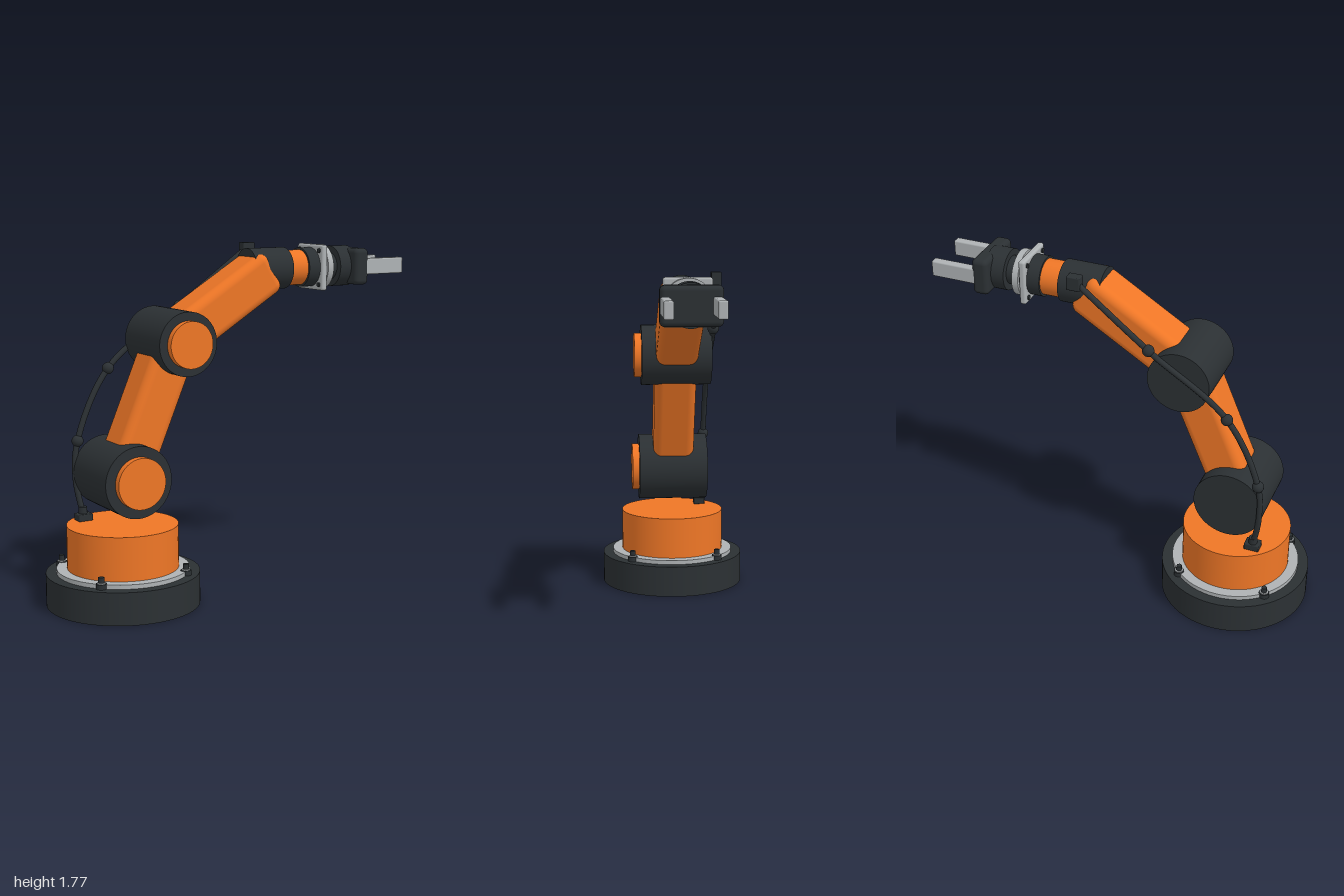
import * as THREE from 'three';
import { RoundedBoxGeometry } from 'three/addons/geometries/RoundedBoxGeometry.js';

const orange = new THREE.MeshStandardMaterial({ color: 0xee7626 });
const dark = new THREE.MeshStandardMaterial({ color: 0x2b3033 });
const metal = new THREE.MeshStandardMaterial({ color: 0xaeb2b4 });

export function createModel() {
  const model = new THREE.Group();
  model.name = 'robotArm';

  const add = (name, geometry, material, x = 0, y = 0, z = 0) => {
    const mesh = new THREE.Mesh(geometry, material);
    mesh.name = name;
    mesh.position.set(x, y, z);
    model.add(mesh);
    return mesh;
  };
  // Cylinders given by their start and end along one axis
  const cylY = (name, mat, r, y0, y1, x, z, seg = 64) =>
    add(name, new THREE.CylinderGeometry(r, r, y1 - y0, seg), mat, x, (y0 + y1) / 2, z);
  const cylZ = (name, mat, r, z0, z1, p) =>
    add(name, new THREE.CylinderGeometry(r, r, z1 - z0, 64).rotateX(Math.PI / 2), mat, p.x, p.y, (z0 + z1) / 2);
  const cylX = (name, mat, r, x0, x1, y, z = 0, seg = 48) =>
    add(name, new THREE.CylinderGeometry(r, r, x1 - x0, seg).rotateZ(Math.PI / 2), mat, (x0 + x1) / 2, y, z);
  const box = (name, mat, w, h, d, r, x, y, z) =>
    add(name, new RoundedBoxGeometry(w, h, d, 4, r), mat, x, y, z);

  const shoulder = new THREE.Vector2(-0.613, 0.65);
  const elbow = new THREE.Vector2(-0.333, 1.308);
  const wrist = new THREE.Vector2(0.22, 1.647);

  // Base, mounting ring and turntable
  const bx = shoulder.x;
  cylY('base', dark, 0.387, 0, 0.165, bx, 0);
  cylY('mountingRing', metal, 0.333, 0.165, 0.187, bx, 0);
  cylY('turntable', orange, 0.28, 0.187, 0.407, bx, 0);
  for (const sx of [-1, 1]) {
    for (const sz of [-1, 1]) {
      const x = bx + sx * 0.232, z = sz * 0.232;
      cylY('boltSeat', dark, 0.027, 0.16, 0.19, x, z, 24);
      cylY('boltWasher', metal, 0.021, 0.19, 0.194, x, z, 24);
      cylY('baseBolt', dark, 0.015, 0.194, 0.222, x, z, 6);
    }
  }

  // Joint drums with a cap on the front
  cylZ('shoulderDrum', dark, 0.18, -0.187, 0.187, shoulder);
  cylZ('shoulderCap', orange, 0.128, 0.187, 0.224, shoulder);
  cylZ('elbowDrum', dark, 0.16, -0.185, 0.185, elbow);
  cylZ('elbowCap', orange, 0.117, 0.185, 0.222, elbow);

  // Arm links, each running from one joint towards the next
  const link = (name, from, to, extra) => {
    const dir = to.clone().sub(from);
    const length = dir.length() + extra;
    const mid = dir.clone().normalize().multiplyScalar(length / 2).add(from);
    box(name, orange, length, 0.226, 0.222, 0.045, mid.x, mid.y, 0).rotation.z = dir.angle();
  };
  link('lowerArm', shoulder, elbow, 0);
  link('upperArm', elbow, wrist, 0.0);

  // Wrist stack along x
  const wy = wrist.y;
  cylX('wristHousing', dark, 0.107, 0.11, 0.33, wy);
  cylX('wristRoll', orange, 0.091, 0.33, 0.43, wy);
  cylX('wristCollar', dark, 0.102, 0.43, 0.497, wy);
  box('toolPlate', metal, 0.034, 0.236, 0.236, 0.012, 0.514, wy, 0);
  cylX('plateSpacer', dark, 0.1, 0.53, 0.538, wy);
  cylX('toolFlange', metal, 0.117, 0.537, 0.571, wy);
  for (const sy of [-1, 1]) {
    for (const sz of [-1, 1]) {
      cylX('plateBolt', dark, 0.012, 0.49, 0.5, wy + sy * 0.088, sz * 0.088, 16);
    }
  }

  // Gripper
  cylX('gripperFlange', dark, 0.085, 0.571, 0.583, wy);
  cylX('gripperNeck', dark, 0.072, 0.583, 0.622, wy);
  cylX('gripperMotor', dark, 0.106, 0.622, 0.725, wy);
  box('gripperBody', dark, 0.086, 0.19, 0.294, 0.025, 0.733, wy, 0);
  for (const side of [-1, 1]) {
    box('finger', metal, 0.25, 0.084, 0.045, 0.008, 0.875, wy, side * 0.12);
  }

  // Cable with clips and end connectors
  const path = [
    [-0.75, 0.42, -0.165], [-0.78, 0.62, -0.188], [-0.765, 0.81, -0.188],
    [-0.59, 1.165, -0.19], [-0.18, 1.46, -0.188], [0.2, 1.738, -0.165],
  ].map((p) => new THREE.Vector3(...p));
  add('cable', new THREE.TubeGeometry(new THREE.CatmullRomCurve3(path), 80, 0.015, 12), dark);
  for (const p of path.slice(2, 5)) {
    add('cableClip', new THREE.SphereGeometry(0.03, 20, 14), dark, p.x, p.y, p.z);
  }
  box('lowerConnector', dark, 0.078, 0.036, 0.062, 0.005, -0.75, 0.423, -0.163);
  cylY('strainRelief', dark, 0.022, 0.44, 0.475, -0.752, -0.168, 20);
  box('upperConnector', dark, 0.07, 0.072, 0.05, 0.005, 0.21, 1.739, -0.163);

  return model;
}
